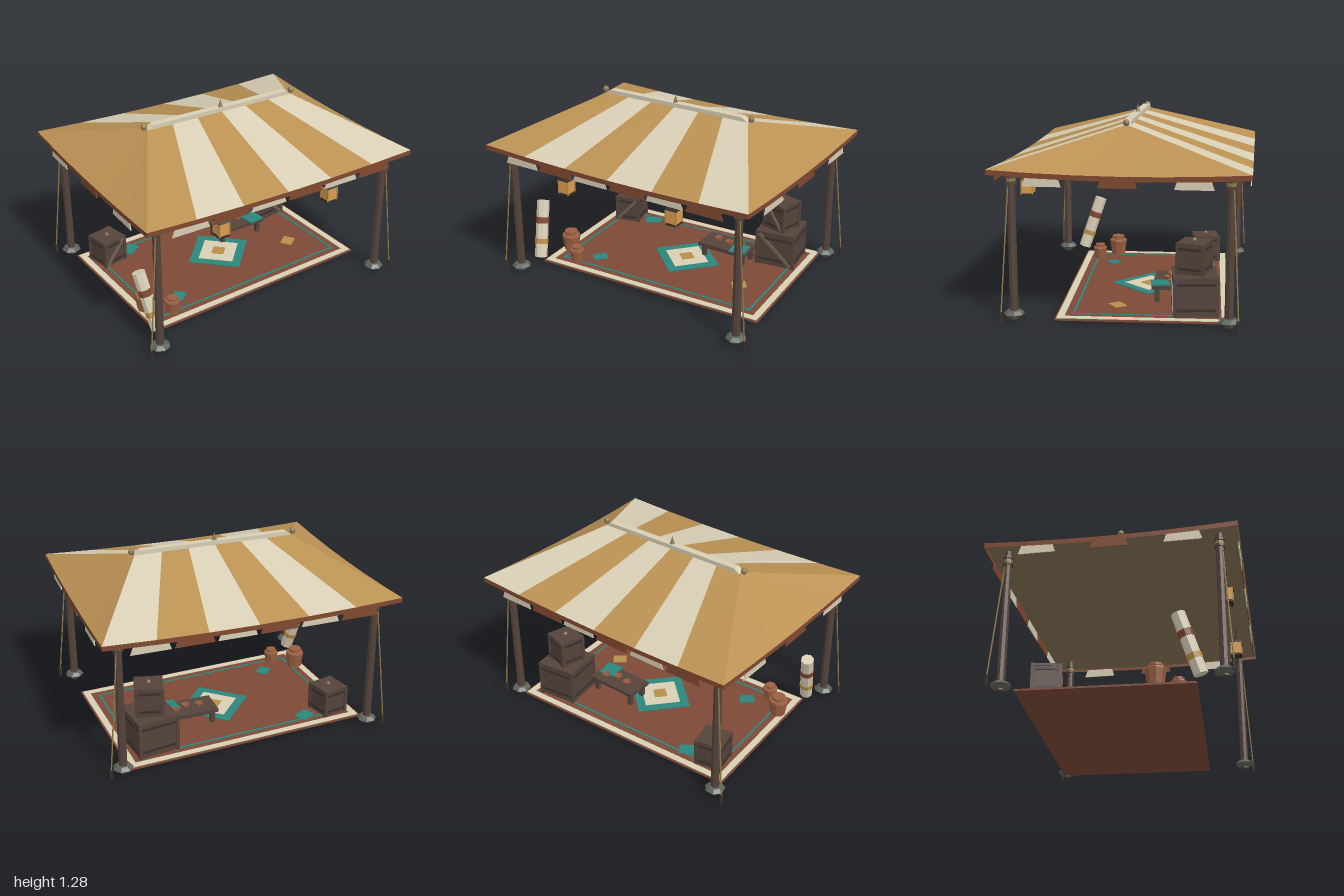
import * as THREE from 'three';

const C = {
  tan: 0xba9153, cream: 0xd8ceb5, red: 0x80482f, wood: 0x54433b, dark: 0x3a302c, brace: 0x6f5f52,
  rope: 0x8f7747, brass: 0x8d7a55, stone: 0x5c6259, clay: 0x9a5f42, teal: 0x2b857c,
  gold: 0xb98f48, glow: 0xdb9d4e, lining: 0x857254, rug: 0x7d4936,
};
const mats = {};
const mat = (c) => (mats[c] ??= new THREE.MeshStandardMaterial({ color: C[c], flatShading: true, side: THREE.DoubleSide }));

function add(parent, name, geo, color, x = 0, y = 0, z = 0) {
  const m = new THREE.Mesh(geo, mat(color));
  m.name = name;
  m.position.set(x, y, z);
  parent.add(m);
  return m;
}
function group(parent, name, x = 0, y = 0, z = 0, ry = 0) {
  const g = new THREE.Group();
  g.name = name;
  g.position.set(x, y, z);
  g.rotation.y = ry;
  parent.add(g);
  return g;
}
const box = (w, h, d) => new THREE.BoxGeometry(w, h, d);
const cyl = (rt, rb, h, n = 8) => new THREE.CylinderGeometry(rt, rb, h, n);
const lathe = (pts, n) => new THREE.LatheGeometry(pts.map((p) => new THREE.Vector2(...p)), n);

// Faceted surface from corner loops of three or four points
function facets(loops) {
  const v = [];
  for (const l of loops) for (let i = 1; i < l.length - 1; i++) v.push(...l[0], ...l[i], ...l[i + 1]);
  const g = new THREE.BufferGeometry();
  g.setAttribute('position', new THREE.Float32BufferAttribute(v, 3));
  g.computeVertexNormals();
  return g;
}
// Cylinder between two points
function rod(parent, name, a, b, r, color, n) {
  const A = new THREE.Vector3(...a), B = new THREE.Vector3(...b), d = B.clone().sub(A);
  const m = add(parent, name, cyl(r, r, d.length(), n), color, ...A.add(B).multiplyScalar(0.5).toArray());
  m.quaternion.setFromUnitVectors(new THREE.Vector3(0, 1, 0), d.normalize());
  return m;
}

function canopy(root) {
  const g = group(root, 'canopy');
  const sag = (t) => 0.945 + 0.025 * t * t;
  const stripes = { tan: [], cream: [] }, fascia = [];
  const N = 6, at = (i) => -1 + (2 * i) / N;
  const drop = (p) => [p[0], p[1] - 0.032, p[2]];
  for (const s of [1, -1]) {
    for (let i = 0; i < N; i++) {
      const a = at(i), b = at(i + 1);
      // Long sides are striped, hip ends are plain
      const L = [[a, sag(a), 0.8 * s], [b, sag(b), 0.8 * s], [b * 0.555, 1.2, 0], [a * 0.555, 1.2, 0]];
      const E = [[s, sag(b), 0.8 * b], [s, sag(a), 0.8 * a], [0.555 * s, 1.2, 0]];
      for (const q of [L, E]) fascia.push([q[0], drop(q[0]), drop(q[1]), q[1]]);
      if (s < 0) { L.reverse(); E.reverse(); }
      stripes[i % 2 ? 'cream' : 'tan'].push(L);
      stripes.tan.push(E);
    }
  }
  add(g, 'tanPanels', facets(stripes.tan), 'tan');
  add(g, 'creamPanels', facets(stripes.cream), 'cream');
  add(g, 'lining', facets([...stripes.tan, ...stripes.cream]), 'lining', 0, -0.012).scale.set(0.995, 1, 0.995);
  add(g, 'eaveBand', facets(fascia), 'red');

  // Hanging flaps along the eaves
  const flapShape = new THREE.Shape([[-0.108, 0.06], [-0.13, 0], [0.13, 0], [0.108, 0.06]].map((p) => new THREE.Vector2(...p)));
  const flap = new THREE.ExtrudeGeometry(flapShape, { depth: 0.006, bevelEnabled: false });
  for (const turn of [0, Math.PI]) {
    const side = group(g, 'longValance', 0, 0, 0, turn);
    for (let i = 0; i < 6; i++) add(side, 'flap', flap, i % 2 ? 'red' : 'cream', -0.7 + 0.28 * i, 0.876, 0.787);
    const end = group(g, 'endValance', 0, 0, 0, turn + Math.PI / 2);
    for (let i = -1; i <= 1; i++) add(end, 'flap', flap, i ? 'cream' : 'red', 0.46 * i, 0.872, 0.987).scale.x = 0.92;
  }

  // Ridge cap and finials
  const cap = new THREE.Shape([[-0.56, 0], [0.56, 0], [0.52, 0.028], [-0.52, 0.028]].map((p) => new THREE.Vector2(...p)));
  add(g, 'ridgeCap', new THREE.ExtrudeGeometry(cap, { depth: 0.05, bevelEnabled: false }), 'cream', 0, 1.197, -0.025);
  for (const s of [1, -1]) add(g, 'ridgeKnob', new THREE.SphereGeometry(0.022, 8, 6), 'brass', 0.58 * s, 1.216, 0);
  add(g, 'finial', lathe([[0, 0], [0.022, 0.008], [0.022, 0.022], [0.014, 0.03], [0, 0.08]], 8), 'brass', 0, 1.2, 0);
}

function posts(root) {
  for (const sx of [1, -1]) for (const sz of [1, -1]) {
    const x = 0.875 * sx, z = 0.675 * sz, g = group(root, 'post');
    add(g, 'pole', cyl(0.025, 0.029, 0.96), 'wood', x, 0.48, z);
    for (const y of [0.87, 0.915]) add(g, 'collar', cyl(0.036, 0.036, 0.016), 'wood', x, y, z);
    add(g, 'ropeWrap', cyl(0.031, 0.031, 0.02), 'rope', x, 0.892, z);
    add(g, 'footStone', lathe([[0, 0.012], [0.045, 0.012], [0.068, 0.034], [0.045, 0.056], [0, 0.06]], 7), 'stone', x, 0, z);
    const stake = [0.968 * sx, 0.055, 0.735 * sz];
    rod(g, 'guyRope', [0.885 * sx, 0.9, 0.69 * sz], stake, 0.005, 'rope', 5);
    add(g, 'stake', cyl(0.013, 0.01, 0.07, 6), 'dark', stake[0], 0.036, stake[2]);
  }
}

function lantern(root, x) {
  const g = group(root, 'lantern', x, 0, 0.68);
  add(g, 'cord', cyl(0.004, 0.004, 0.13, 5), 'dark', 0, 0.885);
  add(g, 'glass', box(0.074, 0.1, 0.074), 'glow', 0, 0.765);
  add(g, 'roof', cyl(0.05, 0.062, 0.016, 4), 'dark', 0, 0.818).rotation.y = Math.PI / 4;
  add(g, 'base', box(0.08, 0.014, 0.08), 'dark', 0, 0.714);
  for (const a of [1, -1]) for (const b of [1, -1]) add(g, 'frame', box(0.008, 0.1, 0.008), 'gold', 0.037 * a, 0.765, 0.037 * b);
}

function rug(root) {
  const g = group(root, 'rug', 0.01, 0, -0.09, 0.052);
  add(g, 'weave', box(1.7, 0.012, 1.1), 'rug', 0, 0.006);
  const border = (name, w, d, t, color) => {
    for (const s of [1, -1]) {
      add(g, name, box(w, 0.005, t), color, 0, 0.013, s * (d - t) / 2);
      add(g, name, box(t, 0.005, d - 2 * t), color, s * (w - t) / 2, 0.013, 0);
    }
  };
  border('outerBorder', 1.68, 1.08, 0.045, 'cream');
  border('innerBorder', 1.5, 0.9, 0.014, 'teal');
  const patch = (name, w, d, color, x, z, y, ry) => { add(g, name, box(w, 0.004, d), color, x, y, z).rotation.y = ry; };
  const q = Math.PI / 4;
  patch('medallionOuter', 0.37, 0.37, 'teal', 0.03, 0, 0.014, q);
  patch('medallionMiddle', 0.25, 0.25, 'cream', 0.03, 0, 0.017, q);
  patch('medallionInner', 0.09, 0.09, 'gold', 0.03, 0, 0.02, q);
  patch('ornament', 0.1, 0.085, 'teal', -0.52, 0.31, 0.014, 0.7);
  patch('ornament', 0.12, 0.09, 'teal', -0.49, -0.4, 0.014, 0.5);
  patch('ornament', 0.1, 0.085, 'gold', 0.54, 0.18, 0.014, 0.6);
}

function crate(root, x, y, z, ry, w, h, lean, knob) {
  const g = group(root, 'crate', x, y, z, ry);
  add(g, 'body', box(w, h, w), 'wood', 0, h / 2);
  for (const t of [0.18, 0.82]) add(g, 'band', box(w + 0.014, 0.016, w + 0.014), 'dark', 0, h * t);
  add(g, 'lid', box(w + 0.012, 0.014, w + 0.012), 'wood', 0, h - 0.006);
  for (const a of [1, -1]) for (const b of [1, -1]) add(g, 'cornerPost', box(0.022, h, 0.022), 'wood', a * w / 2.05, h / 2, b * w / 2.05);
  add(g, 'brace', box(Math.hypot(w, h) * 0.86, 0.022, 0.01), 'brace', 0, h / 2, w / 2 + 0.006).rotation.z = lean * Math.atan2(h, w);
  if (knob) add(g, 'knob', new THREE.SphereGeometry(0.014, 6, 5), 'brass', 0, h + 0.011, 0);
}

function jar(root, x, z, r, h) {
  const g = group(root, 'jar', x, 0.01, z);
  add(g, 'pot', lathe([[0, 0], [0.76 * r, 0], [0.88 * r, h * 0.4], [r, h * 0.74], [0.96 * r, h * 0.8], [0.6 * r, h * 0.82], [0.6 * r, h * 0.9]], 9), 'clay');
  add(g, 'lid', cyl(0.7 * r, 0.7 * r, h * 0.12, 9), 'clay', 0, h * 0.94);
}

function table(root) {
  const g = group(root, 'lowTable', 0.29, 0, -0.25);
  add(g, 'top', box(0.38, 0.024, 0.2), 'wood', 0, 0.113);
  for (const a of [1, -1]) {
    for (const b of [1, -1]) add(g, 'leg', box(0.03, 0.095, 0.03), 'wood', 0.155 * a, 0.055, 0.065 * b);
    add(g, 'apron', box(0.32, 0.022, 0.012), 'dark', 0, 0.09, 0.065 * a);
  }
  add(g, 'cloth', box(0.12, 0.008, 0.13), 'teal', 0.12, 0.13, 0.045).rotation.y = 0.15;
  for (const [x, z] of [[-0.08, -0.01], [0.015, 0.005], [0.1, -0.03]]) {
    add(g, 'cup', lathe([[0, 0], [0.021, 0], [0.03, 0.024], [0.022, 0.024], [0.018, 0.008], [0, 0.008]], 8), 'clay', x, 0.125, z);
  }
}

function clothRoll(root) {
  const g = group(root, 'clothRoll');
  const a = [-0.815, 0.05, 0.53], b = [-0.87, 0.435, 0.405];
  const at = (t) => a.map((v, i) => v + (b[i] - v) * t);
  rod(g, 'roll', a, b, 0.045, 'cream', 8);
  rod(g, 'redTie', at(0.6), at(0.71), 0.049, 'red', 8);
  rod(g, 'goldTie', at(0.24), at(0.33), 0.049, 'gold', 8);
}

export function createModel() {
  const root = new THREE.Group();
  root.name = 'marketTent';
  canopy(root);
  posts(root);
  for (const s of [1, -1]) lantern(root, 0.42 * s);
  rug(root);
  // Goods under the canopy
  crate(root, 0.62, 0.012, -0.445, 0.14, 0.275, 0.258, -1, false);
  crate(root, 0.62, 0.27, -0.44, -0.25, 0.172, 0.203, -1, true);
  crate(root, -0.69, 0.012, -0.44, 0.22, 0.175, 0.195, 1, true);
  jar(root, -0.755, 0.25, 0.068, 0.15);
  jar(root, -0.61, 0.37, 0.053, 0.113);
  table(root);
  clothRoll(root);
  return root;
}
